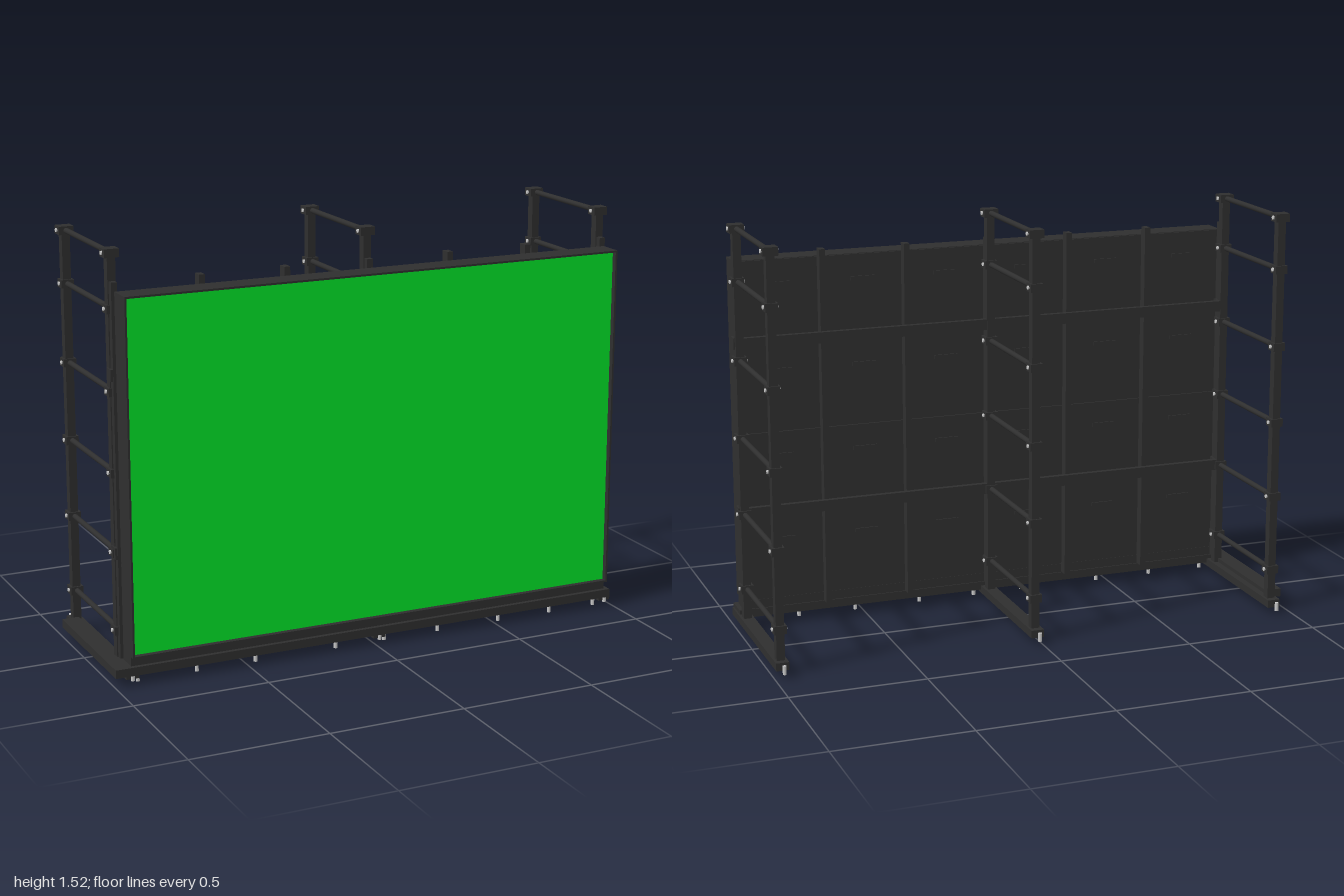
import * as THREE from 'three';

export function createModel() {
  const root = new THREE.Group();
  root.name = 'screenWall';
  const mat = (name, color) => {
    const m = new THREE.MeshStandardMaterial({ color });
    m.name = name;
    return m;
  };
  const dark = mat('dark metal', 0x2f2f2f);
  const green = mat('screen green', 0x00e628);
  const steel = mat('bare steel', 0xc8c8c8);

  // Box given by its lower and upper limits on each axis
  const box = (name, x0, x1, y0, y1, z0, z1, m = dark, parent = root) => {
    const mesh = new THREE.Mesh(new THREE.BoxGeometry(x1 - x0, y1 - y0, z1 - z0), m);
    mesh.position.set((x0 + x1) / 2, (y0 + y1) / 2, (z0 + z1) / 2);
    mesh.name = name;
    parent.add(mesh);
  };
  // Cylinder centred at a point, along axis 'x', 'y' or 'z'
  const rod = (name, axis, r, len, x, y, z, m = dark, parent = root) => {
    const geo = new THREE.CylinderGeometry(r, r, len, 12);
    if (axis === 'x') geo.rotateZ(Math.PI / 2);
    if (axis === 'z') geo.rotateX(Math.PI / 2);
    const mesh = new THREE.Mesh(geo, m);
    mesh.position.set(x, y, z);
    mesh.name = name;
    parent.add(mesh);
  };

  const left = -0.938, right = 0.969, bottom = 0.101, top = 1.375;
  const cols = 6, rows = 4;
  const cw = (right - left) / cols, rh = (top - bottom) / rows;

  // Screen casing with the display face set back inside a thin bezel
  const rim = 0.007, faceZ = 0.319, rimZ = 0.339;
  box('screenCasing', left, right, bottom, top, 0.243, faceZ - 0.003);
  box('displayFace', left + rim, right - rim, bottom + rim, top - rim, faceZ - 0.003, faceZ, green);
  box('bezelLeft', left, left + rim, bottom, top, faceZ - 0.003, rimZ);
  box('bezelRight', right - rim, right, bottom, top, faceZ - 0.003, rimZ);
  box('bezelBottom', left + rim, right - rim, bottom, bottom + rim, faceZ - 0.003, rimZ);
  box('bezelTop', left + rim, right - rim, top - rim, top, faceZ - 0.003, rimZ);
  box('lowerSkirt', left, right, 0.05, bottom, 0.24, 0.317);

  // Cabinet backs with narrow seams, each with a flat handle
  for (let c = 0; c < cols; c++) {
    for (let r = 0; r < rows; r++) {
      const x = left + c * cw, y = bottom + r * rh;
      box('cabinetBack', x + 0.002, x + cw - 0.002, y + 0.002, y + rh - 0.002, 0.236, 0.243);
      const cx = x + cw / 2, hy = y + rh - 0.09;
      box('cabinetHandle', cx - 0.045, cx + 0.045, hy - 0.007, hy + 0.007, 0.231, 0.236);
    }
  }

  // Upright struts over the column seams
  for (let c = 1; c < cols; c++) {
    if (c === 3) continue;
    const x = left + c * cw;
    box('seamStrut', x - 0.011, x + 0.011, 0.07, 1.405, 0.2, 0.236);
  }

  // Ladder frames
  const rungs = [0.166, 0.451, 0.736, 1.023, 1.31, 1.501];
  const frames = [-0.936, 0.0155, 0.967];
  const postZ = [0.197, -0.268];
  for (const x of frames) {
    const frame = new THREE.Group();
    frame.name = 'ladderFrame';
    root.add(frame);
    box('baseBeam', x - 0.024, x + 0.024, 0.024, 0.053, -0.308, 0.325, dark, frame);
    for (const z of postZ) {
      box('post', x - 0.015, x + 0.015, 0.05, 1.503, z - 0.016, z + 0.016, dark, frame);
      for (const y of rungs) {
        const w = y > 1.4 ? 0.027 : 0.023;
        box('clamp', x - w, x + w, y - 0.015, y + 0.015, z - 0.023, z + 0.023, dark, frame);
        for (const s of [-1, 1]) {
          rod('clampBolt', 'x', 0.007, 0.008, x + s * (w + 0.001), y, z, steel, frame);
        }
      }
    }
    for (const y of rungs) {
      rod('rung', 'z', 0.01, postZ[0] - postZ[1], x, y, (postZ[0] + postZ[1]) / 2, dark, frame);
    }
    // Mount tying the post to the back of the screen
    box('screenMount', x - 0.011, x + 0.011, 0.07, 1.405, 0.2, 0.236, dark, frame);
    rod('rearPin', 'y', 0.007, 0.032, x, 0.034, -0.331, steel, frame);
    rod('frontPin', 'y', 0.007, 0.032, x, 0.034, 0.326, steel, frame);
  }

  // Horizontal rails behind the screen and their end brackets
  for (const y of [1.085, 0.453]) {
    box('rail', frames[0], frames[2], y - 0.02, y + 0.02, 0.182, 0.202);
    for (const x of [frames[0], frames[2]]) {
      box('railBracket', x - 0.02, x + 0.02, y - 0.021, y + 0.021, 0.194, 0.234);
    }
  }

  // Floor sill with a return along one side
  box('frontSill', -1, 0.985, 0.037, 0.068, 0.235, 0.333);
  box('sideSill', -1, -0.937, 0.037, 0.068, -0.237, 0.235);

  // Levelling feet
  for (const x of [-0.906, -0.685, -0.46, -0.145, 0.05, 0.27, 0.525, 0.745, 0.937]) {
    rod('levellingFoot', 'y', 0.007, 0.04, x, 0.02, 0.292, steel);
  }
  return root;
}
